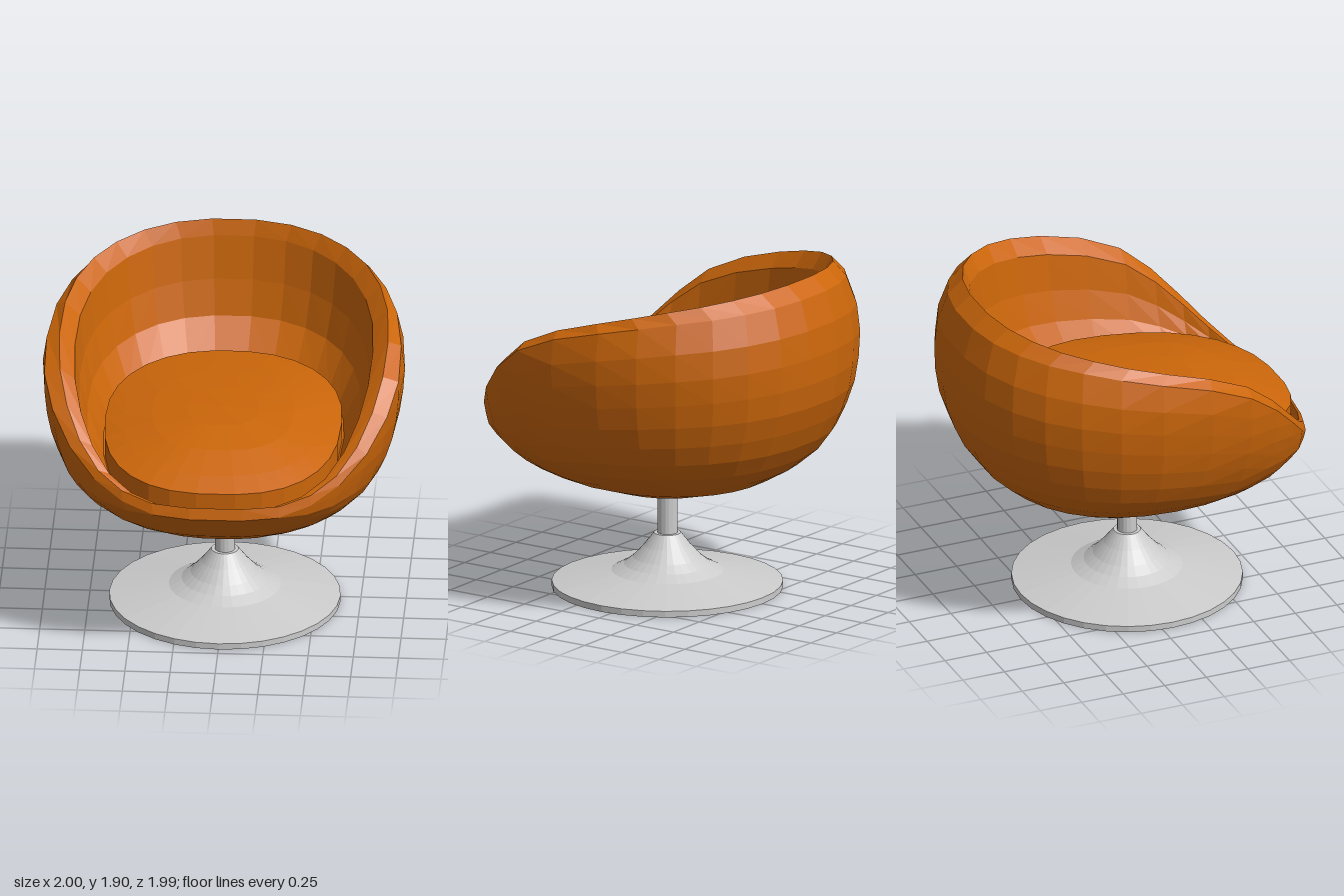
import * as THREE from 'three';

const SEGMENTS = 30;

// Piecewise-linear lookup in a list of [key, value], keys ascending
function lookup(table, k) {
  if (k <= table[0][0]) return table[0][1];
  for (let i = 1; i < table.length; i++) {
    const [k0, v0] = table[i - 1], [k1, v1] = table[i];
    if (k <= k1) return v0 + (v1 - v0) * (k - k0) / (k1 - k0);
  }
  return table[table.length - 1][1];
}

// Point on an egg-shaped plan outline (squarer at the front):
// half width, front z, back z, centre z
function outline(angle, width, front, back, centre) {
  const s = Math.sin(angle), c = Math.cos(angle);
  const power = c > 0 ? 2 / 2.5 : 2 / 2.25;
  const bend = v => Math.sign(v) * Math.pow(Math.abs(v), power);
  return [width * bend(s), centre + bend(c) * (c > 0 ? front - centre : centre - back)];
}

// Skin a stack of rings; each ring is a function angle -> [x, y, z]
function loft(rings, material, name) {
  const positions = [], indices = [];
  rings.forEach(ring => {
    for (let i = 0; i < SEGMENTS; i++) positions.push(...ring((i + 0.5) / SEGMENTS * Math.PI * 2));
  });
  for (let k = 0; k < rings.length - 1; k++) {
    for (let i = 0; i < SEGMENTS; i++) {
      const j = (i + 1) % SEGMENTS;
      const a = k * SEGMENTS + i, b = k * SEGMENTS + j;
      const c = b + SEGMENTS, d = a + SEGMENTS;
      // Mirror the quad diagonals between the two sides
      if (i < SEGMENTS / 2) indices.push(a, b, d, b, c, d);
      else indices.push(a, b, c, a, c, d);
    }
  }
  const geometry = new THREE.BufferGeometry();
  geometry.setAttribute('position', new THREE.Float32BufferAttribute(positions, 3));
  geometry.setIndex(indices);
  geometry.computeVertexNormals();
  const mesh = new THREE.Mesh(geometry, material);
  mesh.name = name;
  return mesh;
}

// Outer bowl extents by height
const WIDTH = [[0.58, 0.12], [0.6, 0.34], [0.65, 0.495], [0.72, 0.64], [0.8, 0.75], [0.87, 0.83],
  [1, 0.905], [1.14, 0.955], [1.3, 0.987], [1.48, 1.003], [1.6, 0.99], [1.7, 0.96], [1.83, 0.9]];
const FRONT = [[0.58, 0.17], [0.59, 0.36], [0.65, 0.64], [0.77, 0.85], [0.9, 0.965], [0.95, 1.008]];
const BACK = [[0.58, -0.06], [0.61, -0.31], [0.69, -0.59], [0.82, -0.77], [0.98, -0.885],
  [1.18, -0.968], [1.42, -1.005], [1.65, -0.985], [1.83, -0.925]];
// Rim height by z, and how far the inner rim edge rises above the outer one
const RIM = [[-1, 1.825], [-0.5, 1.765], [0, 1.67], [0.25, 1.6], [0.46, 1.49], [0.63, 1.325],
  [0.77, 1.15], [0.87, 1.035], [0.97, 0.95], [1, 0.94]];
const LIFT = [[-1, 0.075], [-0.5, 0.05], [0, 0.035], [0.6, 0.03], [1, 0.065]];
// Seat cushion edge height by z
const SEAT_EDGE = [[-0.54, 1.23], [0.1, 1.18], [0.5, 1.14], [0.97, 1.085]];

const rimZ = angle => outline(angle, 1, 1, -1, 0.15)[1];

function buildShell(material) {
  const rings = [() => [0, 0.58, 0.05]];
  // Outside, from the bottom up to the sloping rim
  const LEVELS = 11;
  for (let k = 0; k <= LEVELS; k++) {
    const t = Math.pow(k / LEVELS, 1.5);
    rings.push(angle => {
      const y = 0.58 + (lookup(RIM, rimZ(angle)) - 0.58) * t;
      const centre = lookup([[0.58, 0.05], [1.2, 0.15]], y);
      const [x, z] = outline(angle, lookup(WIDTH, y), lookup(FRONT, y), lookup(BACK, y), centre);
      return [x, y, z];
    });
  }
  // Over the rim and down the inside wall: width, front, back, drop toward the floor
  const inside = [[0.91, 0.985, -0.835, 0], [0.825, 0.978, -0.81, 0.12], [0.8, 0.974, -0.77, 0.45],
    [0.755, 0.97, -0.72, 0.72], [0.665, 0.968, -0.55, 1]];
  for (const [width, front, back, drop] of inside) {
    rings.push(angle => {
      const rz = rimZ(angle);
      const top = lookup(RIM, rz) + lookup(LIFT, rz);
      const floor = lookup([[-1, 1.15], [0.3, 1.05], [1, 0.95]], rz);
      const [x, z] = outline(angle, width, front, back, 0.17);
      return [x, top + (floor - top) * drop, z];
    });
  }
  rings.push(() => [0, 0.95, 0.2]);
  return loft(rings, material, 'bowlShell');
}

function buildCushion(material) {
  // Plan scale and share of the rise from edge to crown
  const top = [[1, 0], [0.84, 0.32], [0.6, 0.72], [0.3, 0.95], [0, 1]];
  const edge = angle => outline(angle, 0.655, 0.965, -0.545, 0.2);
  const rings = [angle => {
    const [x, z] = edge(angle);
    return [x, 0.96, z];
  }];
  for (const [scale, rise] of top) {
    rings.push(angle => {
      const [x, z] = edge(angle);
      const y = lookup(SEAT_EDGE, z);
      return [x * scale, y + (1.255 - y) * rise, 0.2 + (z - 0.2) * scale];
    });
  }
  return loft(rings, material, 'seatCushion');
}

export function createModel() {
  const model = new THREE.Group();
  model.name = 'swivelBowlChair';
  const fabric = new THREE.MeshStandardMaterial({ color: 0xcb660a, flatShading: true });
  const metal = new THREE.MeshStandardMaterial({ color: 0xcccccc, flatShading: true });

  model.add(buildShell(fabric), buildCushion(fabric));

  // Flared round foot
  const profile = [[0, 0], [0.64, 0], [0.64, 0.035], [0.31, 0.097], [0.24, 0.132], [0.19, 0.172],
    [0.13, 0.238], [0.075, 0.31], [0, 0.31]].map(([r, y]) => new THREE.Vector2(r, y));
  const foot = new THREE.Mesh(new THREE.LatheGeometry(profile, 32), metal);
  foot.name = 'pedestalFoot';
  foot.position.z = 0.06;

  // Post between foot and bowl
  const post = new THREE.Mesh(new THREE.CylinderGeometry(0.056, 0.056, 0.32, 16), metal);
  post.name = 'pedestalPost';
  post.position.set(0, 0.45, 0.06);

  model.add(foot, post);
  return model;
}
